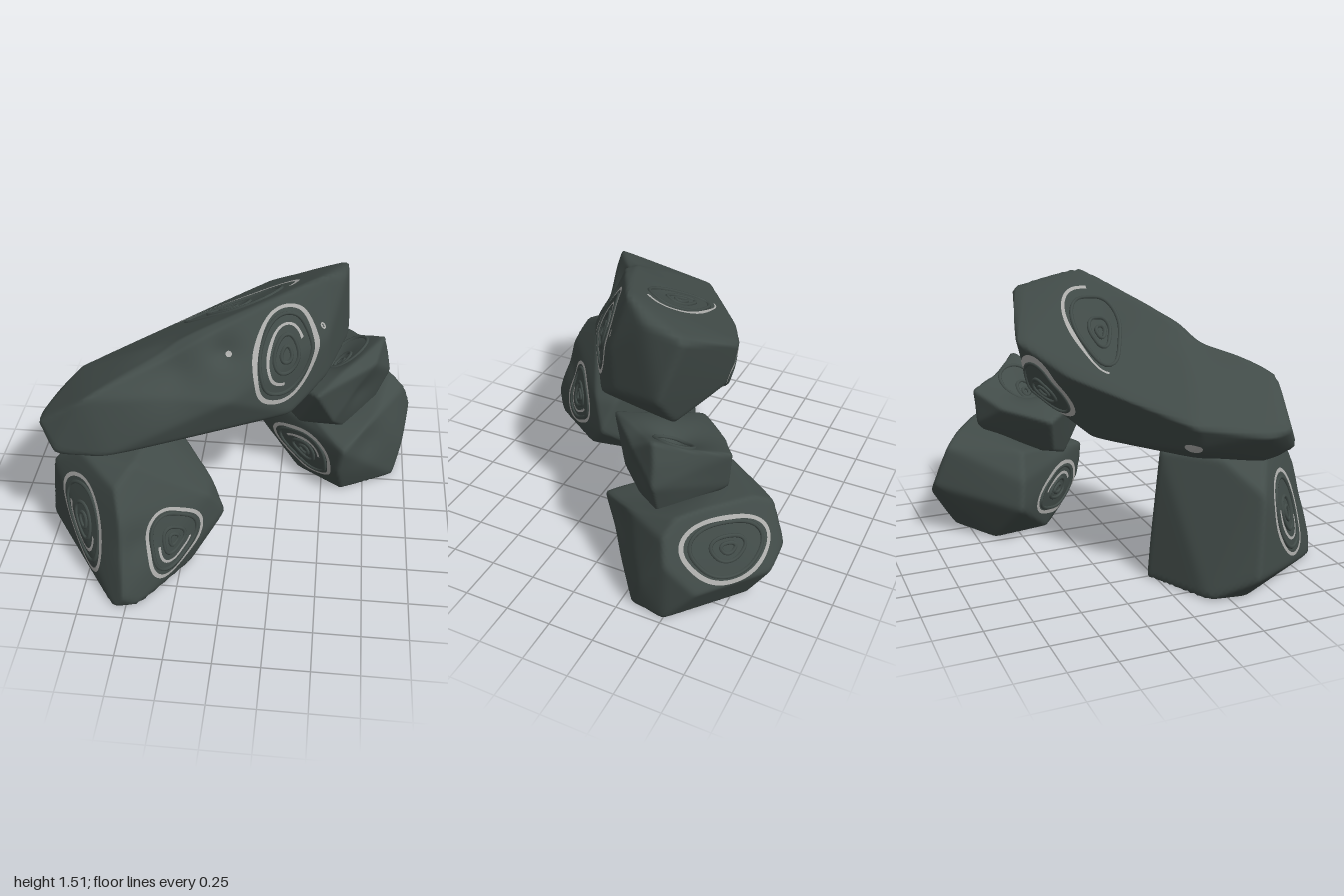
import * as THREE from 'three';
import { ConvexGeometry } from 'three/addons/geometries/ConvexGeometry.js';
import { mergeVertices } from 'three/addons/utils/BufferGeometryUtils.js';

const V = (x, y, z) => new THREE.Vector3(x, y, z);
const stone = new THREE.MeshStandardMaterial({ color: 0x424c49 });
stone.name = 'dark stone';
const inlay = new THREE.MeshStandardMaterial({ color: 0xb0b0ae, side: THREE.DoubleSide });
inlay.name = 'pale inlay';

// Worn block: the convex hull of a few corners, with softened edges and shallow dents
function rockSurface(center, corners, dents) {
  const pos = new ConvexGeometry(corners.map((c) => c.clone().sub(center))).getAttribute('position');
  const planes = [];
  const tri = new THREE.Triangle();
  for (let i = 0; i < pos.count; i += 3) {
    tri.setFromAttributeAndIndices(pos, i, i + 1, i + 2);
    if (tri.getArea() < 1e-6) continue;
    const n = tri.getNormal(V(0, 0, 0));
    n.divideScalar(n.dot(tri.a));
    if (planes.every((p) => p.distanceTo(n) > 0.02)) planes.push(n);
  }
  return (dir) => {
    const d = dir.clone().normalize();
    const reach = planes.map((p) => Math.max(0, p.dot(d)));
    const most = Math.max(...reach);
    const sum = reach.reduce((s, q) => s + Math.pow(q / most, 90), 0);
    const out = d.clone().divideScalar(most * Math.pow(sum, 1 / 90)).add(center);
    let push = 0;
    for (const { at, radius, depth } of dents) {
      push += depth * Math.exp(-out.distanceToSquared(at) / (radius * radius));
    }
    return out.addScaledVector(d, -push);
  };
}

function rockMesh(surface, detail) {
  let g = new THREE.IcosahedronGeometry(1, detail);
  g.deleteAttribute('normal');
  g.deleteAttribute('uv');
  g = mergeVertices(g, 1e-4);
  const p = g.getAttribute('position');
  for (let i = 0; i < p.count; i++) {
    const q = surface(V(0, 0, 0).fromBufferAttribute(p, i));
    p.setXYZ(i, q.x, q.y, q.z);
  }
  g.computeVertexNormals();
  const mesh = new THREE.Mesh(g, stone);
  mesh.name = 'block';
  return mesh;
}

// Concentric carving laid onto a block: pale bands and raised stone rings.
// The outline is a tilted oval with three soft corners, the first at angle `tip`.
function carving(surface, center, { at, normal, rx, ry, tilt = 0, corner = 0, tip = 0, bands = [], rings = [0.78, 0.36, 0.15] }) {
  const group = new THREE.Group();
  group.name = 'ringCarving';
  const n = normal.clone().normalize();
  const u = V(0, 1, 0).cross(n).normalize();
  const w = n.clone().cross(u);
  const place = (t, scale, inset, lift) => {
    const a = t * Math.PI * 2;
    const k = scale * (1 + corner * Math.cos(3 * (a - tip)));
    const o = new THREE.Vector2(rx * Math.cos(a) * k, ry * Math.sin(a) * k).rotateAround(new THREE.Vector2(), tilt);
    o.setLength(Math.max(0.001, o.length() - inset));
    const spot = at.clone().addScaledVector(u, o.x).addScaledVector(w, o.y);
    return surface(spot.sub(center)).addScaledVector(n, lift);
  };
  for (const { scale, width, from, to } of bands) {
    const pts = [], idx = [], N = 72;
    for (let i = 0; i <= N; i++) {
      const t = from + ((to - from) * i) / N;
      pts.push(place(t, scale, 0, 0.006), place(t, scale, width, 0.006));
      if (i < N) idx.push(2 * i, 2 * i + 1, 2 * i + 2, 2 * i + 1, 2 * i + 3, 2 * i + 2);
    }
    const g = new THREE.BufferGeometry().setFromPoints(pts);
    g.setIndex(idx);
    g.computeVertexNormals();
    const mesh = new THREE.Mesh(g, inlay);
    mesh.name = 'paleBand';
    group.add(mesh);
  }
  for (const scale of rings) {
    const pts = Array.from({ length: 32 }, (_, i) => place(i / 32, scale, 0, 0));
    const path = new THREE.CatmullRomCurve3(pts, true);
    const ring = new THREE.Mesh(new THREE.TubeGeometry(path, 56, 0.011, 6, true), stone);
    ring.name = 'stoneRing';
    group.add(ring);
  }
  return group;
}

function rock(name, detail, center, corners, dents, carvings) {
  const part = new THREE.Group();
  part.name = name;
  const surface = rockSurface(center, corners, dents);
  part.add(rockMesh(surface, detail), ...carvings.map((c) => carving(surface, center, c)));
  return part;
}

const dent = (at, radius, depth) => ({ at, radius, depth });
const outer = (width, from = 0, to = 1) => ({ scale: 1, width, from, to });
const inner = (from, to) => ({ scale: 0.6, width: 0.018, from, to });
// Small pale fleck
const chip = (at, normal, rx, ry) => ({ at, normal, rx, ry, bands: [outer(rx)], rings: [] });

// Long slab lying across the supports
function lintel() {
  const corners = [
    V(-1, 0.88, 0.4), V(-0.98, 0.9, 0.52), V(-0.89, 0.77, 0.61), V(-0.71, 1.11, 0.58), V(-0.62, 0.75, 0.59),
    V(-0.83, 0.69, 0.48), V(-0.86, 0.93, 0.05), V(-0.25, 1.06, -0.36), V(0.15, 1.2, -0.54), V(0.13, 0.93, -0.48),
    V(-0.8, 0.78, 0.1), V(-0.65, 0.69, 0.16), V(-0.15, 0.69, -0.2), V(-0.27, 1.29, 0.25), V(0.45, 1.52, -0.06),
    V(0.57, 1.45, -0.2), V(0.58, 1.41, -0.43), V(0.61, 1.03, -0.3), V(0.49, 1.2, 0.04), V(0.5, 0.95, 0.02),
    V(0, 1, 0.39), V(0.32, 0.8, 0.18), V(0.2, 0.69, 0.1), V(-0.2, 0.67, 0.25), V(0.2, 0.69, -0.2), V(0.42, 0.8, -0.3),
  ];
  const dents = [dent(V(-0.33, 1.17, 0.42), 0.18, 0.06), dent(V(-0.02, 1.24, 0.27), 0.08, 0.035), dent(V(0.05, 1.3, -0.1), 0.14, 0.02)];
  return rock('lintelStone', 40, V(-0.2, 1.02, 0.05), corners, dents, [
    { at: V(0.28, 1.17, 0.17), normal: V(0.57, 0.17, 0.8), rx: 0.175, ry: 0.31, tilt: -0.3, corner: 0.06, tip: 1.57,
      bands: [outer(0.028), inner(0.1, 0.8)] },
    { at: V(-0.05, 1.25, -0.12), normal: V(-0.3, 0.85, -0.4), rx: 0.33, ry: 0.13, tilt: 2.2, corner: 0.1, tip: Math.PI,
      bands: [outer(0.018, 0, 0.48)] },
    { at: V(0, 0.94, -0.38), normal: V(-0.55, 0, -0.83), rx: 0.19, ry: 0.17, bands: [outer(0.03)] },
    chip(V(-0.78, 0.8, 0.09), V(-0.5, -0.4, -0.75), 0.055, 0.03),
    chip(V(0, 1.22, 0.26), V(0, 0.5, 0.85), 0.018, 0.018),
    chip(V(0.47, 1.28, 0.03), V(0.7, 0.1, 0.7), 0.01, 0.022),
  ]);
}

// Tall boulder under the low end
function frontSupport() {
  const corners = [
    V(-0.57, 0, 0.93), V(-0.43, 0, 0.9), V(-0.5, 0.1, 0.96), V(-0.9, 0, 0.34), V(-0.87, 0, 0.14), V(-0.5, 0, -0.04),
    V(-0.27, 0, 0.16), V(-0.2, 0, 0.55), V(-1.01, 0.13, 0.36), V(-0.02, 0.24, 0.38), V(-0.13, 0.1, 0.48), V(-0.96, 0.56, 0.4),
    V(-0.78, 0.71, 0.5), V(-0.47, 0.75, 0.63), V(-0.4, 0.75, 0.3), V(-0.36, 0.68, 0.1), V(-0.5, 0.7, 0.03), V(-0.3, 0.6, 0.56),
    V(-0.1, 0.43, 0.32), V(-0.1, 0.42, 0.46), V(-0.75, 0.71, 0.25), V(-0.55, 0.67, 0.75), V(-0.52, 0.53, 0.83),
  ];
  return rock('frontSupportStone', 28, V(-0.5, 0.35, 0.42), corners, [dent(V(-0.42, 0.35, 0.84), 0.1, 0.02)], [
    { at: V(-0.745, 0.36, 0.64), normal: V(-0.7, 0.15, 0.7), rx: 0.17, ry: 0.275, tilt: 0.42, corner: 0.05, tip: -1.57,
      bands: [outer(0.024), inner(0.4, 0.9)] },
    { at: V(-0.24, 0.27, 0.7), normal: V(0.7, 0.1, 0.7), rx: 0.22, ry: 0.235, corner: 0.1,
      bands: [outer(0.026), inner(0.5, 0.95)] },
  ]);
}

// Squat boulder under the high end
function rearSupport() {
  const corners = [
    V(0.35, 0, -0.32), V(0.62, 0, -0.14), V(0.93, 0, -0.3), V(0.97, 0, -0.5), V(0.6, 0, -0.82), V(0.3, 0, -0.65),
    V(0.06, 0.24, -0.55), V(0.09, 0.4, -0.53), V(0.62, 0.4, 0.01), V(0.59, 0.22, -0.03), V(1.01, 0.4, -0.53), V(0.98, 0.2, -0.37),
    V(0.48, 0.3, -0.96), V(0.62, 0.22, -0.95), V(0.94, 0.2, -0.67), V(0.2, 0.54, -0.5), V(0.45, 0.53, -0.88), V(0.54, 0.59, -0.8),
    V(0.77, 0.62, -0.63), V(0.88, 0.61, -0.53), V(0.97, 0.53, -0.5), V(0.8, 0.5, -0.22),
  ];
  const dents = [dent(V(0.75, 0.35, -0.15), 0.12, 0.02), dent(V(0.55, 0.52, -0.35), 0.2, 0.04)];
  return rock('rearSupportStone', 28, V(0.57, 0.28, -0.48), corners, dents, [
    { at: V(0.4, 0.215, -0.25), normal: V(-0.7, -0.07, 0.7), rx: 0.24, ry: 0.145, corner: 0.08, tip: Math.PI,
      bands: [outer(0.026), inner(0.05, 0.45)] },
    { at: V(0.73, 0.39, -0.73), normal: V(0.62, 0.35, -0.7), rx: 0.24, ry: 0.17, tilt: -0.12, corner: 0.07, tip: -1.57,
      bands: [outer(0.024)] },
  ]);
}

// Wedge stone between the squat boulder and the slab
function rearUpper() {
  const corners = [
    V(0.82, 0.98, -0.37), V(0.87, 0.72, -0.39), V(0.85, 0.86, -0.39), V(0.56, 0.83, -0.69), V(0.55, 0.62, -0.67), V(0.13, 0.71, -0.35),
    V(0.35, 0.75, -0.57), V(0.45, 0.8, 0.03), V(0.6, 0.89, -0.14), V(0.78, 0.88, -0.22), V(0.25, 0.5, -0.3), V(0.35, 0.45, -0.2),
    V(0.62, 0.42, -0.22), V(0.78, 0.5, -0.38), V(0.55, 0.45, -0.5), V(0.55, 0.55, -0.08),
  ];
  const dents = [dent(V(0.57, 0.85, -0.37), 0.18, 0.12), dent(V(0.75, 0.68, -0.2), 0.12, 0.02)];
  return rock('rearUpperStone', 28, V(0.55, 0.6, -0.34), corners, dents, [
    { at: V(0.58, 0.82, -0.36), normal: V(-0.3, 0.85, -0.35), rx: 0.14, ry: 0.14 },
  ]);
}

export function createModel() {
  const model = new THREE.Group();
  model.name = 'stoneArch';
  model.add(lintel(), frontSupport(), rearSupport(), rearUpper());
  return model;
}
